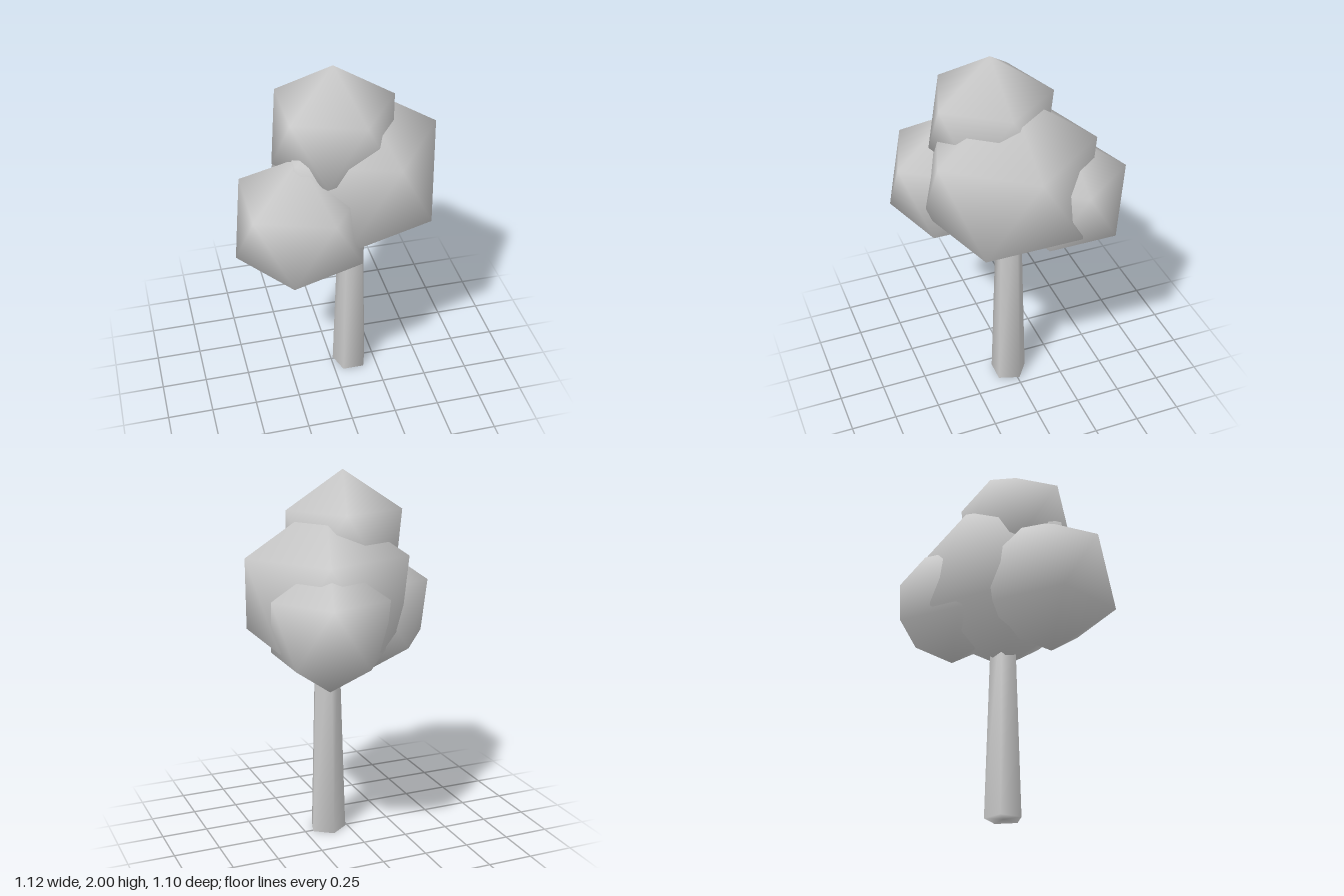
import * as THREE from 'three';
import { mergeVertices } from 'three/addons/utils/BufferGeometryUtils.js';

// Weld corners so the low-poly shapes get smooth normals
function smooth(geometry) {
  geometry.deleteAttribute('normal');
  geometry.deleteAttribute('uv');
  const welded = mergeVertices(geometry);
  welded.computeVertexNormals();
  return welded;
}

export function createModel() {
  const tree = new THREE.Group();
  tree.name = 'tree';

  const grey = new THREE.MeshStandardMaterial({ color: 0xcccccc });
  grey.name = 'light grey';

  // Tapered five-sided trunk, running up into the foliage
  const trunkHeight = 1.2;
  const trunk = new THREE.Mesh(
    smooth(new THREE.CylinderGeometry(0.067, 0.1025, trunkHeight, 5, 1, false, Math.PI)),
    grey
  );
  trunk.name = 'trunk';
  trunk.position.set(0.11, trunkHeight / 2, 0.02);
  tree.add(trunk);

  // Foliage clumps: icosahedra standing on a corner, upper ring pointing to +x
  const clump = new THREE.IcosahedronGeometry(1, 0);
  clump.rotateZ(-Math.atan(2 / (1 + Math.sqrt(5))));
  const clumpGeometry = smooth(clump);

  const clumps = [
    ['mainFoliage', 0.5, 0.11, 1.355, 0.02],
    ['topFoliage', 0.358, -0.01, 1.642, 0.075],
    ['frontFoliage', 0.386, -0.215, 1.206, 0.222],
    ['backFoliage', 0.352, 0.2, 1.247, -0.255],
  ];
  for (const [name, radius, x, y, z] of clumps) {
    const mesh = new THREE.Mesh(clumpGeometry, grey);
    mesh.name = name;
    mesh.scale.setScalar(radius);
    mesh.position.set(x, y, z);
    tree.add(mesh);
  }
  return tree;
}
